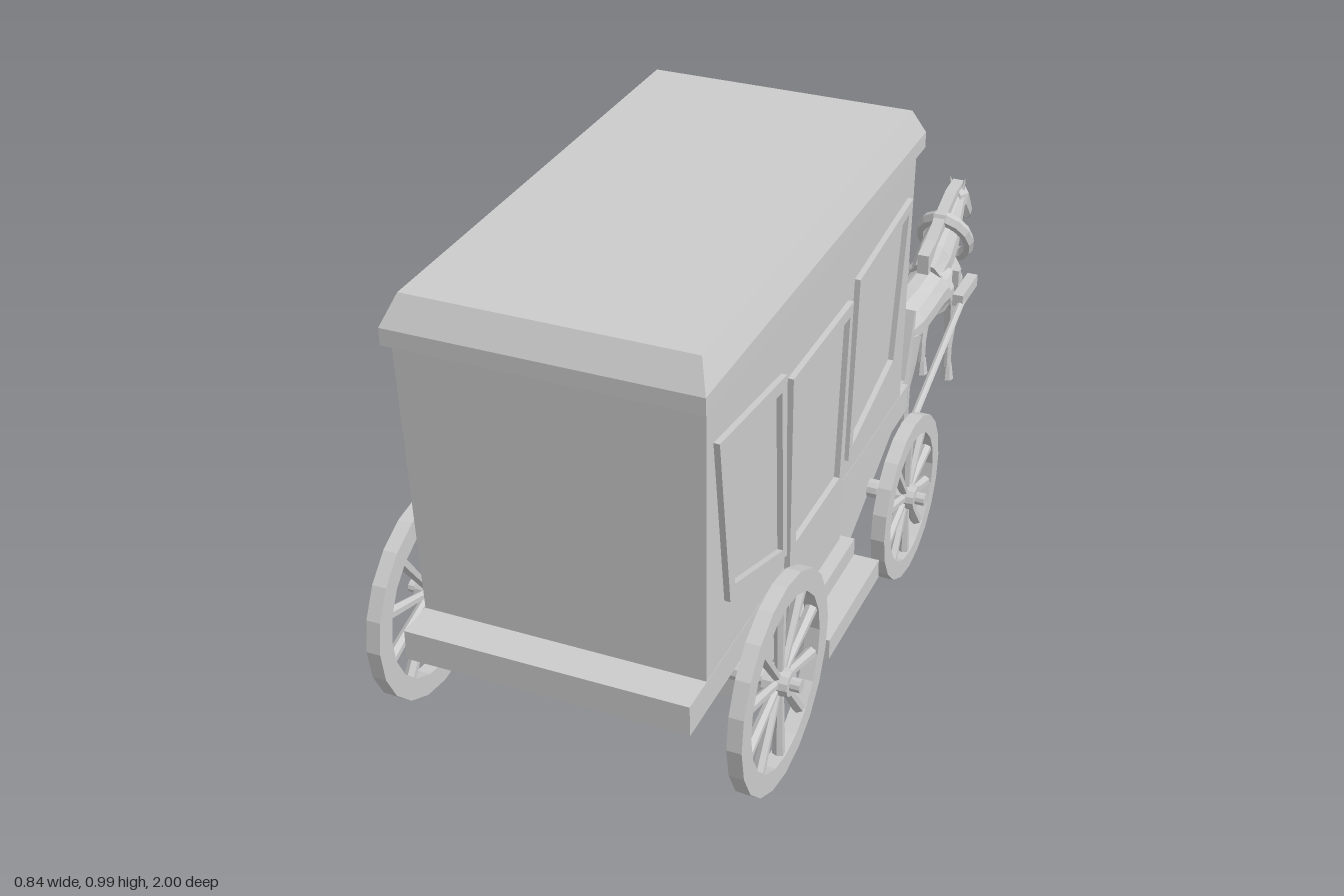
import * as THREE from 'three';

const mat = new THREE.MeshStandardMaterial({ color: 0xcccccc, flatShading: true, side: THREE.DoubleSide });

function add(parent, geo, name, x = 0, y = 0, z = 0) {
  const m = new THREE.Mesh(geo, mat);
  m.name = name;
  m.position.set(x, y, z);
  parent.add(m);
  return m;
}

// Box between two corners
function box(parent, name, x0, x1, y0, y1, z0, z1) {
  return add(parent, new THREE.BoxGeometry(x1 - x0, y1 - y0, z1 - z0), name, (x0 + x1) / 2, (y0 + y1) / 2, (z0 + z1) / 2);
}

// Box whose bottom and top rectangles differ: [half width, back z, front z, y]
function taperedBox(parent, name, bottom, top) {
  const geo = new THREE.BoxGeometry(2, 2, 2);
  const p = geo.attributes.position;
  for (let i = 0; i < p.count; i++) {
    const [w, z0, z1, y] = p.getY(i) > 0 ? top : bottom;
    p.setXYZ(i, p.getX(i) * w, y, p.getZ(i) > 0 ? z1 : z0);
  }
  return add(parent, geo, name);
}

// Extrudes a [z, y] outline across x from x0 to x1, with optional hole
function sideExtrude(parent, name, outline, x0, x1, hole) {
  const pts = a => a.map(([z, y]) => new THREE.Vector2(-z, y));
  const shape = new THREE.Shape(pts(outline));
  if (hole) shape.holes.push(new THREE.Path(pts(hole)));
  const geo = new THREE.ExtrudeGeometry(shape, { depth: x1 - x0, bevelEnabled: false });
  geo.rotateY(Math.PI / 2);
  return add(parent, geo, name, x0, 0, 0);
}

// Straight rod between two points
function rod(parent, name, a, b, r0, r1 = r0, sides = 8) {
  const A = new THREE.Vector3(...a), B = new THREE.Vector3(...b);
  const d = B.clone().sub(A);
  const m = add(parent, new THREE.CylinderGeometry(r1, r0, d.length(), sides), name);
  m.position.copy(A).add(B).multiplyScalar(0.5);
  m.quaternion.setFromUnitVectors(new THREE.Vector3(0, 1, 0), d.normalize());
  return m;
}

// Skin over elliptical sections [z, y, half width, half depth] along a path
function loft(parent, name, st, sides = 10, x = 0) {
  const pos = [], idx = [], n = st.length;
  st.forEach(([z, y, rx, rn], i) => {
    const a = st[Math.max(0, i - 1)], b = st[Math.min(n - 1, i + 1)];
    const l = Math.hypot(b[0] - a[0], b[1] - a[1]), tz = (b[0] - a[0]) / l, ty = (b[1] - a[1]) / l;
    for (let j = 0; j < sides; j++) {
      const t = (j + 0.5) / sides * Math.PI * 2, s = Math.sin(t) * rn;
      pos.push(Math.cos(t) * rx, y + tz * s, z - ty * s);
    }
  });
  pos.push(0, st[0][1], st[0][0], 0, st[n - 1][1], st[n - 1][0]);
  for (let j = 0; j < sides; j++) {
    const k = (j + 1) % sides, e = (n - 1) * sides;
    for (let i = 0; i < n - 1; i++) {
      const o = i * sides, q = o + sides;
      idx.push(o + j, o + k, q + k, o + j, q + k, q + j);
    }
    idx.push(n * sides, k, j, n * sides + 1, e + j, e + k);
  }
  const geo = new THREE.BufferGeometry();
  geo.setAttribute('position', new THREE.Float32BufferAttribute(pos, 3));
  geo.setIndex(idx);
  geo.computeVertexNormals();
  return add(parent, geo, name, x);
}

// Spoked wheel centred on its own origin, axle along x
function wheel(name, R, inner) {
  const g = new THREE.Group();
  g.name = name;
  const rim = [[inner, -0.015], [R, -0.015], [R, 0.015], [inner, 0.015], [inner, -0.015]];
  add(g, new THREE.LatheGeometry(rim.map(p => new THREE.Vector2(...p)), 20), 'rim').rotation.z = Math.PI / 2;
  for (let i = 0; i < 10; i++) {
    const a = (i + 0.5) / 10 * Math.PI * 2, c = Math.cos(a), s = Math.sin(a);
    rod(g, 'spoke', [0, s * 0.02, c * 0.02], [0, s * (inner + 0.01), c * (inner + 0.01)], 0.009, 0.013, 6);
  }
  rod(g, 'hub', [-0.025, 0, 0], [0.025, 0, 0], 0.032, 0.026, 12);
  rod(g, 'hubCap', [0.02, 0, 0], [0.045, 0, 0], 0.014, 0.014, 10);
  return g;
}

function frame(parent, name, outer, inset) {
  const cz = outer.reduce((s, p) => s + p[0], 0) / 4, cy = outer.reduce((s, p) => s + p[1], 0) / 4;
  const inner = outer.map(([z, y]) => [z - Math.sign(z - cz) * inset, y - Math.sign(y - cy) * inset * 1.2]);
  return sideExtrude(parent, name, outer, 0, 0.012, inner);
}

function horse(x) {
  const g = new THREE.Group();
  g.name = 'horse';
  g.position.x = x;
  loft(g, 'torso', [[-0.385, 0.31, 0.02, 0.025], [-0.41, 0.315, 0.05, 0.05], [-0.47, 0.318, 0.064, 0.058], [-0.56, 0.308, 0.06, 0.058],
    [-0.66, 0.3, 0.055, 0.064], [-0.75, 0.295, 0.062, 0.07], [-0.8, 0.3, 0.05, 0.06], [-0.835, 0.305, 0.02, 0.03]], 12);
  loft(g, 'neck', [[-0.67, 0.335, 0.04, 0.05], [-0.73, 0.355, 0.046, 0.068], [-0.79, 0.385, 0.042, 0.06],
    [-0.85, 0.43, 0.032, 0.045], [-0.895, 0.458, 0.025, 0.03]]);
  loft(g, 'head', [[-0.86, 0.465, 0.022, 0.028], [-0.9, 0.452, 0.03, 0.038], [-0.94, 0.415, 0.024, 0.03],
    [-0.98, 0.377, 0.018, 0.021], [-0.992, 0.364, 0.013, 0.014]], 8);
  sideExtrude(g, 'mane', [[-0.64, 0.36], [-0.64, 0.412], [-0.7, 0.425], [-0.77, 0.462], [-0.85, 0.492], [-0.91, 0.495], [-0.89, 0.45], [-0.76, 0.36]], -0.014, 0.014);
  loft(g, 'tail', [[-0.4, 0.355, 0.012, 0.012], [-0.38, 0.33, 0.016, 0.016], [-0.378, 0.25, 0.022, 0.018], [-0.372, 0.165, 0.004, 0.004]], 6);
  for (const s of [-1, 1]) {
    const lx = s * 0.034;
    loft(g, 'hindLeg', [[-0.45, 0.31, 0.026, 0.05], [-0.44, 0.23, 0.02, 0.036], [-0.425, 0.17, 0.013, 0.019],
      [-0.432, 0.1, 0.01, 0.012], [-0.432, 0.045, 0.01, 0.012]], 8, lx);
    loft(g, 'foreLeg', [[-0.775, 0.29, 0.025, 0.045], [-0.783, 0.22, 0.02, 0.03], [-0.782, 0.14, 0.012, 0.016],
      [-0.772, 0.1, 0.01, 0.012], [-0.77, 0.045, 0.01, 0.012]], 8, lx);
    for (const z of [-0.438, -0.777]) add(g, new THREE.CylinderGeometry(0.011, 0.017, 0.042, 8), 'hoof', lx, 0.026, z);
    const ear = add(g, new THREE.ConeGeometry(0.009, 0.035, 5), 'ear', s * 0.016, 0.49, -0.9);
    ear.rotation.z = -s * 0.2;
    // Shaft holder hanging from the girth strap
    box(g, 'shaftHolder', s * 0.088 - 0.013, s * 0.088 + 0.013, 0.287, 0.317, -0.77, -0.65);
    box(g, 'harnessStrap', s * 0.068 - 0.008, s * 0.068 + 0.008, 0.3, 0.36, -0.71, -0.69);
  }
  // Collar ring and girth band
  const collar = add(g, new THREE.TorusGeometry(0.06, 0.014, 6, 14), 'collar', 0, 0.382, -0.815);
  collar.scale.set(1, 1.35, 1.3);
  collar.rotation.x = 0.55;
  const girth = add(g, new THREE.CylinderGeometry(0.068, 0.068, 0.05, 14, 1, true), 'girth', 0, 0.302, -0.69);
  girth.rotation.x = Math.PI / 2;
  return g;
}

export function createModel() {
  const root = new THREE.Group();
  root.name = 'horseDrawnCoach';

  // Cabin, roof and underbody
  taperedBox(root, 'cabin', [0.29, -0.155, 0.92, 0.25], [0.303, -0.17, 0.935, 0.91]);
  box(root, 'roofLip', -0.312, 0.312, 0.905, 0.94, -0.2, 0.957);
  taperedBox(root, 'roof', [0.312, -0.2, 0.957, 0.94], [0.29, -0.17, 0.92, 0.997]);
  box(root, 'basePlate', -0.292, 0.292, 0.25, 0.315, -0.21, 1.0);
  sideExtrude(root, 'underbody', [[0.73, 0.26], [0.73, 0.125], [0.15, 0.125], [-0.12, 0.25], [-0.12, 0.26]], -0.29, 0.29);
  sideExtrude(root, 'footboard', [[-0.2, 0.25], [-0.27, 0.22], [-0.3, 0.25], [-0.338, 0.432], [-0.328, 0.438], [-0.27, 0.285], [-0.2, 0.3]], -0.265, 0.265);

  // Door and slanted windows on one side, leaning with the wall
  const side = new THREE.Group();
  side.name = 'sidePanels';
  side.position.set(0.285, 0, 0);
  side.rotation.z = -0.021;
  root.add(side);
  frame(side, 'rearWindow', [[0.905, 0.82], [0.59, 0.785], [0.56, 0.36], [0.845, 0.445]], 0.022);
  frame(side, 'frontWindow', [[0.195, 0.785], [-0.125, 0.82], [-0.075, 0.44], [0.215, 0.37]], 0.022);
  sideExtrude(side, 'door', [[0.555, 0.755], [0.23, 0.755], [0.25, 0.13], [0.535, 0.13]], 0, 0.012,
    [[0.537, 0.728], [0.247, 0.728], [0.267, 0.36], [0.513, 0.36]]);

  // Framed panel on the driver's wall
  const panel = sideExtrude(root, 'frontPanel', [[-0.25, 0.48], [0.25, 0.48], [0.25, 0.735], [-0.25, 0.735]], 0, 0.02,
    [[-0.225, 0.505], [0.225, 0.505], [0.225, 0.71], [-0.225, 0.71]]);
  panel.rotation.y = Math.PI / 2;
  panel.position.set(0, 0, -0.157);

  // Axles and wheels
  for (const [end, z, y, R, inner] of [['rear', 0.77, 0.23, 0.22, 0.175], ['front', 0.03, 0.187, 0.183, 0.143]]) {
    rod(root, end + 'Axle', [-0.31, y, z], [0.31, y, z], 0.021, 0.021, 10);
    for (const s of [-1, 1]) {
      rod(root, end + 'AxleEnd', [s * 0.31, y, z], [s * 0.36, y, z], 0.021, 0.012, 10);
      const w = wheel(end + 'Wheel', R, inner);
      w.position.set(s * 0.373, y, z);
      if (s < 0) w.rotation.y = Math.PI;
      root.add(w);
    }
  }

  // Two-tier steps, shafts and horses
  for (const s of [-1, 1]) {
    const span = (a, b) => s > 0 ? [a, b] : [-b, -a];
    box(root, 'lowerStep', ...span(0.28, 0.385), 0.11, 0.155, 0.235, 0.53);
    box(root, 'upperStep', ...span(0.28, 0.33), 0.15, 0.195, 0.235, 0.53);
    rod(root, 'outerShaft', [s * 0.325, 0.195, 0.03], [s * 0.268, 0.305, -0.765], 0.009);
    rod(root, 'innerShaft', [s * 0.055, 0.25, -0.25], [s * 0.098, 0.305, -0.765], 0.009);
    root.add(horse(s * 0.182));
  }
  return root;
}
